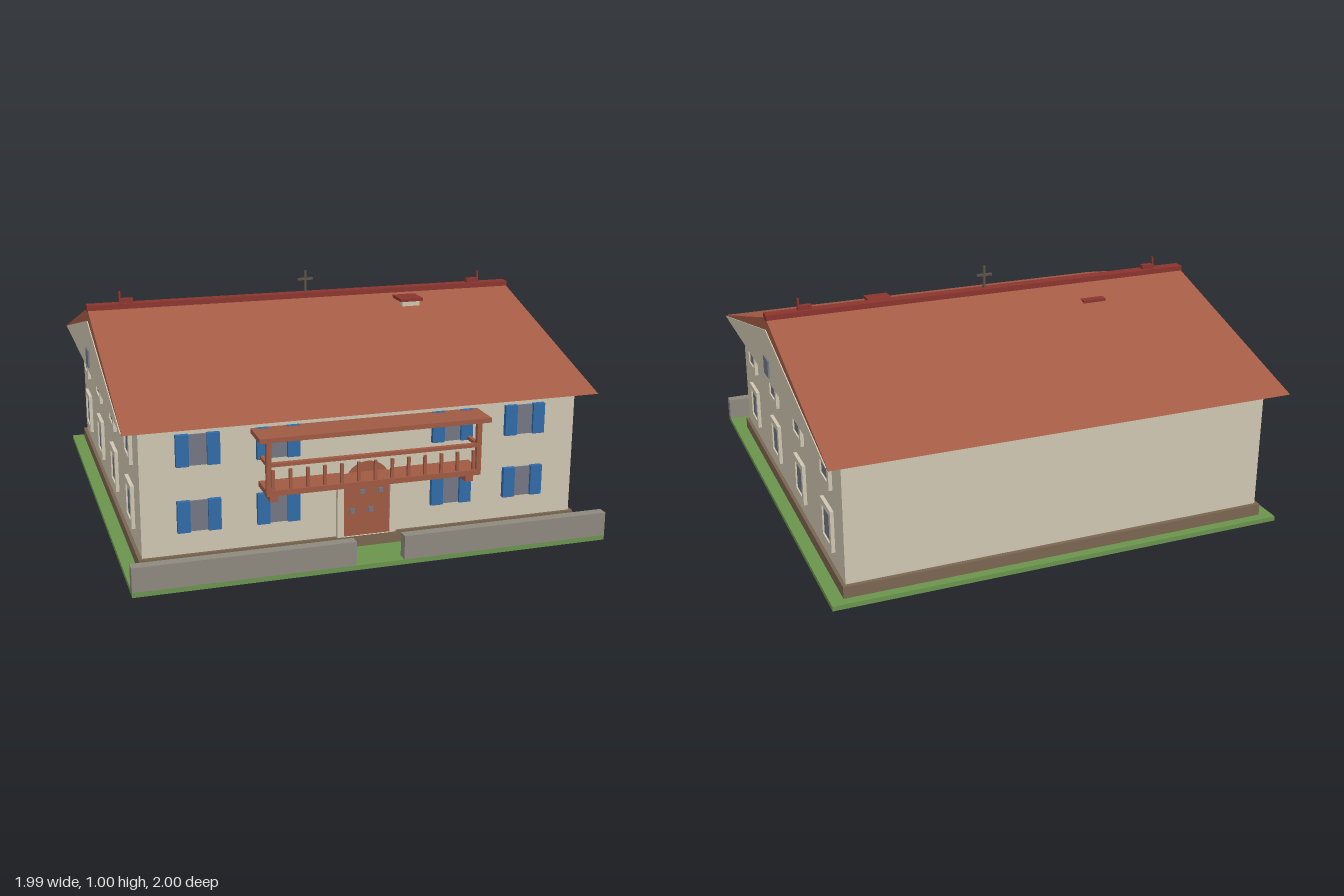
import * as THREE from 'three';

const paint = (name, color) => {
  const m = new THREE.MeshStandardMaterial({ color });
  m.name = name;
  return m;
};

export function createModel() {
  const house = new THREE.Group();
  house.name = 'house';

  const plaster = paint('plaster', 0xcfc6b2);
  const tile = paint('roof tile', 0xa45c45);
  const ridgeRed = paint('ridge red', 0x8a342d);
  const timber = paint('timber', 0x9f5a43);
  const grass = paint('grass', 0x6a934c);
  const plinthBrown = paint('plinth brown', 0x7a6650);
  const stone = paint('fence stone', 0x8e897e);
  const blue = paint('shutter blue', 0x316ba8);
  const glass = paint('window glass', 0x737784);
  const iron = paint('dark iron', 0x5a5248);

  const add = (name, geometry, material, parent = house) => {
    const mesh = new THREE.Mesh(geometry, material);
    mesh.name = name;
    parent.add(mesh);
    return mesh;
  };
  // box given by its limits on each axis
  const box = (name, material, [x0, x1], [y0, y1], [z0, z1], parent) => {
    const g = new THREE.BoxGeometry(x1 - x0, y1 - y0, z1 - z0);
    g.translate((x0 + x1) / 2, (y0 + y1) / 2, (z0 + z1) / 2);
    return add(name, g, material, parent);
  };
  // prism along x from a (z, y) outline
  const prism = (name, material, outline, x0, x1) => {
    const shape = new THREE.Shape(outline.map(([z, y]) => new THREE.Vector2(-z, y)));
    const g = new THREE.ExtrudeGeometry(shape, { depth: x1 - x0, bevelEnabled: false });
    g.rotateY(Math.PI / 2).translate(x0, 0, 0);
    return add(name, g, material);
  };
  const group = (name) => {
    const g = new THREE.Group();
    g.name = name;
    house.add(g);
    return g;
  };
  const RIDGE = -0.055;

  // Ground, plinth and walls
  box('ground', grass, [-0.985, 0.985], [0, 0.02], [-0.97, 1]);
  box('plinth', plinthBrown, [-0.93, 0.93], [0.02, 0.07], [-0.93, 0.822]);
  box('walls', plaster, [-0.915, 0.915], [0.07, 0.6], [-0.912, 0.81]);
  for (const s of [-1, 1]) {
    box('frontFence', stone, s < 0 ? [-0.985, -0.1] : [0.1, 0.985], [0.02, 0.12], [0.957, 1]);
  }

  // Roof with plastered gable ends
  prism('roof', tile, [[0.885, 0.6], [RIDGE, 0.885], [-1, 0.6]], -0.983, 0.983);
  const gable = [[0.865, 0.602], [RIDGE, 0.83], [-0.975, 0.602]];
  prism('gableRight', plaster, gable, -0.987, -0.982);
  prism('gableLeft', plaster, gable, 0.982, 0.987);
  box('ridgeCap', ridgeRed, [-0.985, 0.985], [0.872, 0.9], [RIDGE - 0.025, RIDGE + 0.025]);

  // Ridge finials and cross
  for (const s of [-1, 1]) {
    const base = box('finialBase', ridgeRed, [-0.03, 0.03], [0.9, 0.92], [-0.011, 0.011]);
    base.position.set(s * 0.815, 0, RIDGE);
    const spike = box('finialSpike', ridgeRed, [-0.004, 0.004], [0.92, 0.952], [-0.006, 0.006]);
    spike.position.set(s * 0.841, 0, RIDGE);
  }
  const cross = group('ridgeCross');
  cross.position.z = RIDGE;
  box('crossPost', iron, [-0.005, 0.005], [0.9, 1], [-0.005, 0.005], cross);
  box('crossBar', iron, [-0.035, 0.035], [0.955, 0.965], [-0.005, 0.005], cross);

  // Chimneys
  box('frontChimney', plaster, [0.413, 0.495], [0.8, 0.863], [0.018, 0.098]);
  box('frontChimneyCap', ridgeRed, [0.4, 0.507], [0.862, 0.875], [0.003, 0.113]);
  box('backChimney', plaster, [-0.5, -0.418], [0.79, 0.832], [-0.222, -0.14]);
  box('backChimneyCap', ridgeRed, [-0.513, -0.405], [0.831, 0.843], [-0.233, -0.125]);

  // Shuttered front windows, two floors
  for (const y of [0.165, 0.435]) {
    for (const x of [-0.687, -0.367, 0.365, 0.685]) {
      const w = group('frontWindow');
      w.position.set(x, y, 0.81);
      box('frontPane', glass, [-0.036, 0.036], [0, 0.125], [0, 0.008], w);
      box('shutterRight', blue, [-0.087, -0.036], [0, 0.128], [0, 0.02], w);
      box('shutterLeft', blue, [0.036, 0.087], [0, 0.128], [0, 0.02], w);
    }
  }

  // Framed side windows, two floors of four on each side
  const frame = new THREE.Shape();
  frame.moveTo(-0.075, -0.09).lineTo(0.075, -0.09).lineTo(0.075, 0.09).lineTo(-0.075, 0.09);
  const opening = new THREE.Path();
  opening.moveTo(-0.05, -0.063).lineTo(-0.05, 0.063).lineTo(0.05, 0.063).lineTo(0.05, -0.063);
  frame.holes.push(opening);
  const frameGeometry = new THREE.ExtrudeGeometry(frame, { depth: 0.015, bevelEnabled: false });
  for (const s of [-1, 1]) {
    for (const y of [0.229, 0.498]) {
      for (let i = 0; i < 4; i++) {
        const w = group('sideWindow');
        w.position.set(s * 0.915, y, 0.593 - i * 0.4325);
        w.rotation.y = s * Math.PI / 2;
        add('windowFrame', frameGeometry, plaster, w);
        box('sidePane', glass, [-0.05, 0.05], [-0.063, 0.063], [0, 0.008], w);
      }
    }
    const pane = box('gablePane', glass, [-0.004, 0.004], [0.628, 0.706], [-0.04, 0.04]);
    pane.position.set(s * 0.99, 0, RIDGE);
  }

  // Arched door with its surround
  const arch = (r) => {
    const p = new THREE.Shape();
    p.moveTo(-r, 0.07).lineTo(r, 0.07).lineTo(r, 0.29);
    p.absarc(0, 0.29, r, 0, Math.PI, false);
    return p;
  };
  const surround = arch(0.125);
  surround.holes.push(arch(0.098));
  const extrude = (shape, depth) =>
    new THREE.ExtrudeGeometry(shape, { depth, bevelEnabled: false, curveSegments: 20 }).translate(0, 0, 0.81);
  add('doorSurround', extrude(surround, 0.02), plaster);
  add('door', extrude(arch(0.098), 0.012), timber);
  for (const [x, y] of [[-0.017, 0.257], [0.058, 0.257], [-0.06, 0.178], [0.017, 0.178]]) {
    box('doorPane', glass, [x - 0.01, x + 0.01], [y - 0.01, y + 0.01], [0.82, 0.826]);
  }

  // Balcony: floor, brackets, posts, rails, balusters and canopy
  const balcony = group('balcony');
  box('balconyFloor', timber, [-0.445, 0.445], [0.32, 0.342], [0.81, 0.935], balcony);
  box('balconyCanopy', timber, [-0.476, 0.476], [0.543, 0.562], [0.81, 0.955], balcony);
  box('frontRail', timber, [-0.445, 0.445], [0.438, 0.452], [0.915, 0.935], balcony);
  for (const s of [-1, 1]) {
    const end = new THREE.Group();
    end.name = 'balconyEnd';
    end.position.x = s * 0.435;
    balcony.add(end);
    box('balconyPost', timber, [-0.01, 0.01], [0.342, 0.543], [0.915, 0.935], end);
    box('sideRail', timber, [-0.008, 0.008], [0.438, 0.452], [0.81, 0.915], end);
    const bracket = box('balconyBracket', timber, [-0.017, 0.017], [0.285, 0.32], [0.81, 0.908], balcony);
    bracket.position.x = s * 0.408;
  }
  for (let i = -6; i <= 6; i++) {
    const b = box('baluster', timber, [-0.006, 0.006], [0.342, 0.422], [0.918, 0.93], balcony);
    b.position.x = i * 0.0693;
  }

  return house;
}
